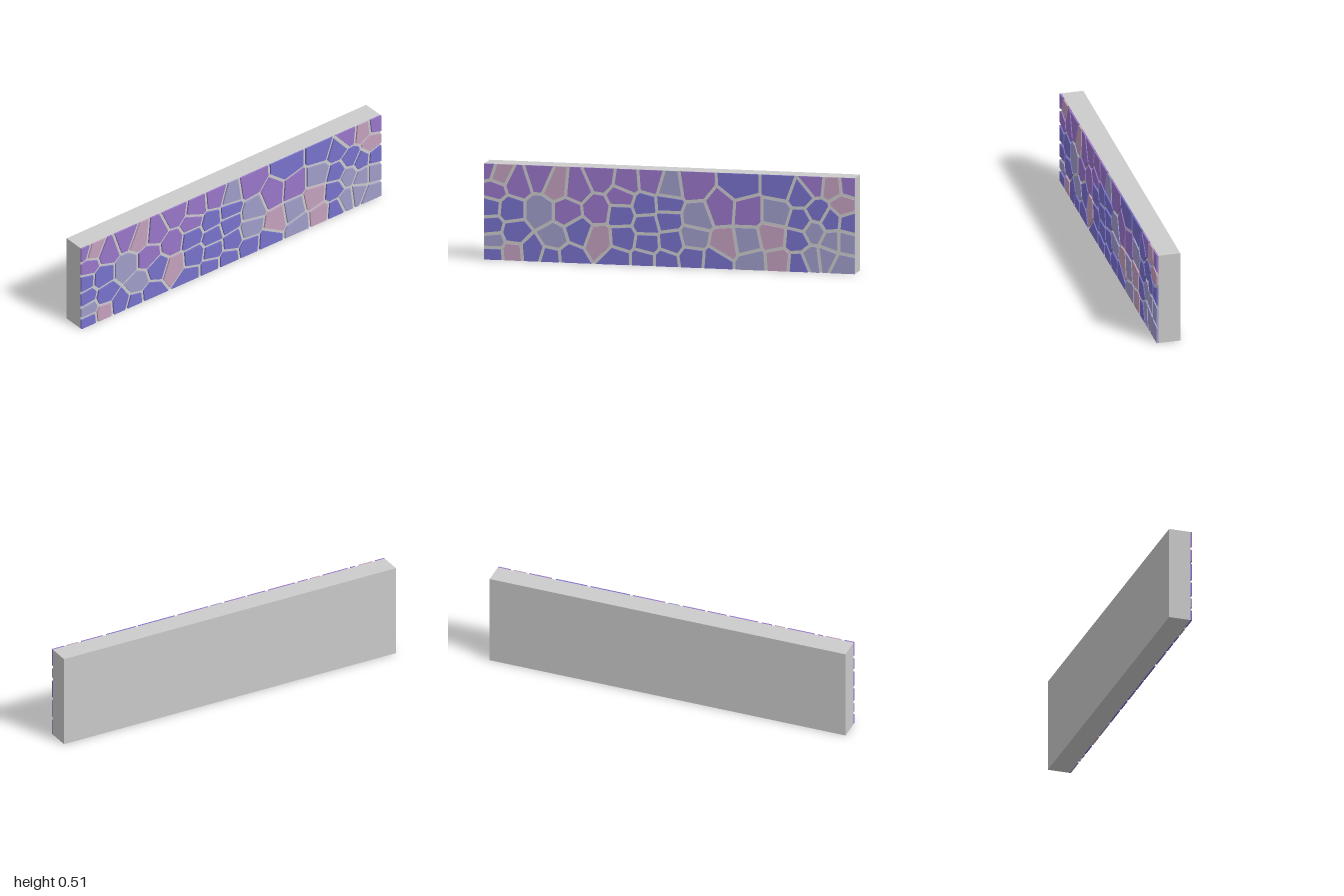
import * as THREE from 'three';

const H = 0.51, HALF_Z = 0.064, FACE_Z = 0.055, HALF_GAP = 0.009;

// Stone centres (x, y pairs, hundredths of a unit) grouped by colour
const STONES = {
  blue: { color: 0x7872cc, at: [-97, 28, -86, 27, -96, 18, -84, 15, -95, 3, -74, 5, -64, 2, -54, 3,
    -49, 17, -26, 27, -13, 32, -12, 22, -1, 25, -25, 14, -12, 12, 1, 13, -28, 3, -14, 3, -2, 3,
    12, 5, 25, 4, -1, 33, 38, 45, 60, 45, 71, 41, 69, 17, 71, 27, 80, 32, 87, 28, 97, 27, 70, 4] },
  purple: { color: 0x9a76ca, at: [-98, 48, -95, 37, -82, 41, -70, 45, -50, 40, -37, 46, -23, 44,
    -10, 45, -55, 27, -39, 29, 13, 44, 28, 32, 42, 31, 78, 47, 97, 47, -26, 36] },
  lilac: { color: 0xa09dca, at: [-70, 27, -62, 13, -95, 10, 15, 27, 13, 16, 42, 15, 58, 31, 45, 4,
    78, 22, 77, 7, 85, 8, 88, 17, 95, 17, 93, 4, 0, 42] },
  mauve: { color: 0xc4a1be, at: [-92, 46, -61, 41, -38, 13, -85, 4, 30, 13, 56, 18, 59, 5, 88, 46, 94, 36] },
};

// Keep the part of a convex polygon where dot(p, n) <= d
function clip(poly, n, d) {
  const out = [];
  poly.forEach((a, i) => {
    const b = poly[(i + 1) % poly.length];
    const da = a.dot(n) - d, db = b.dot(n) - d;
    if (da <= 0) out.push(a);
    if (da * db < 0) out.push(a.clone().lerp(b, da / (da - db)));
  });
  return out;
}

// Cell around one centre, pulled back from its neighbours to leave a joint
function stoneOutline(centre, centres) {
  let poly = [[-1, 0], [1, 0], [1, H], [-1, H]].map(([x, y]) => new THREE.Vector2(x, y));
  for (const other of centres) {
    if (other === centre) continue;
    const n = other.clone().sub(centre).normalize();
    const mid = other.clone().add(centre).multiplyScalar(0.5);
    poly = clip(poly, n, mid.dot(n) - HALF_GAP);
  }
  return poly;
}

export function createModel() {
  const model = new THREE.Group();
  model.name = 'stoneWall';

  // Plain backing slab
  const slab = new THREE.Mesh(
    new THREE.BoxGeometry(2, H, FACE_Z + HALF_Z),
    new THREE.MeshStandardMaterial({ color: 0xcccccc }));
  slab.name = 'wallSlab';
  slab.position.set(0, H / 2, (FACE_Z - HALF_Z) / 2);
  model.add(slab);

  const stones = [];
  for (const [tone, { color, at }] of Object.entries(STONES)) {
    const material = new THREE.MeshStandardMaterial({ color });
    for (let i = 0; i < at.length; i += 2) {
      stones.push({ tone, material, centre: new THREE.Vector2(at[i] / 100, at[i + 1] / 100) });
    }
  }
  const centres = stones.map((s) => s.centre);

  // Thin facing stones on the front
  const facing = new THREE.Group();
  facing.name = 'facingStones';
  for (const { tone, material, centre } of stones) {
    const outline = stoneOutline(centre, centres);
    if (outline.length < 3) continue;
    const geometry = new THREE.ExtrudeGeometry(new THREE.Shape(outline),
      { depth: HALF_Z - FACE_Z, bevelEnabled: false });
    const stone = new THREE.Mesh(geometry, material);
    stone.name = `${tone}Stone`;
    stone.position.z = FACE_Z;
    facing.add(stone);
  }
  model.add(facing);
  return model;
}
